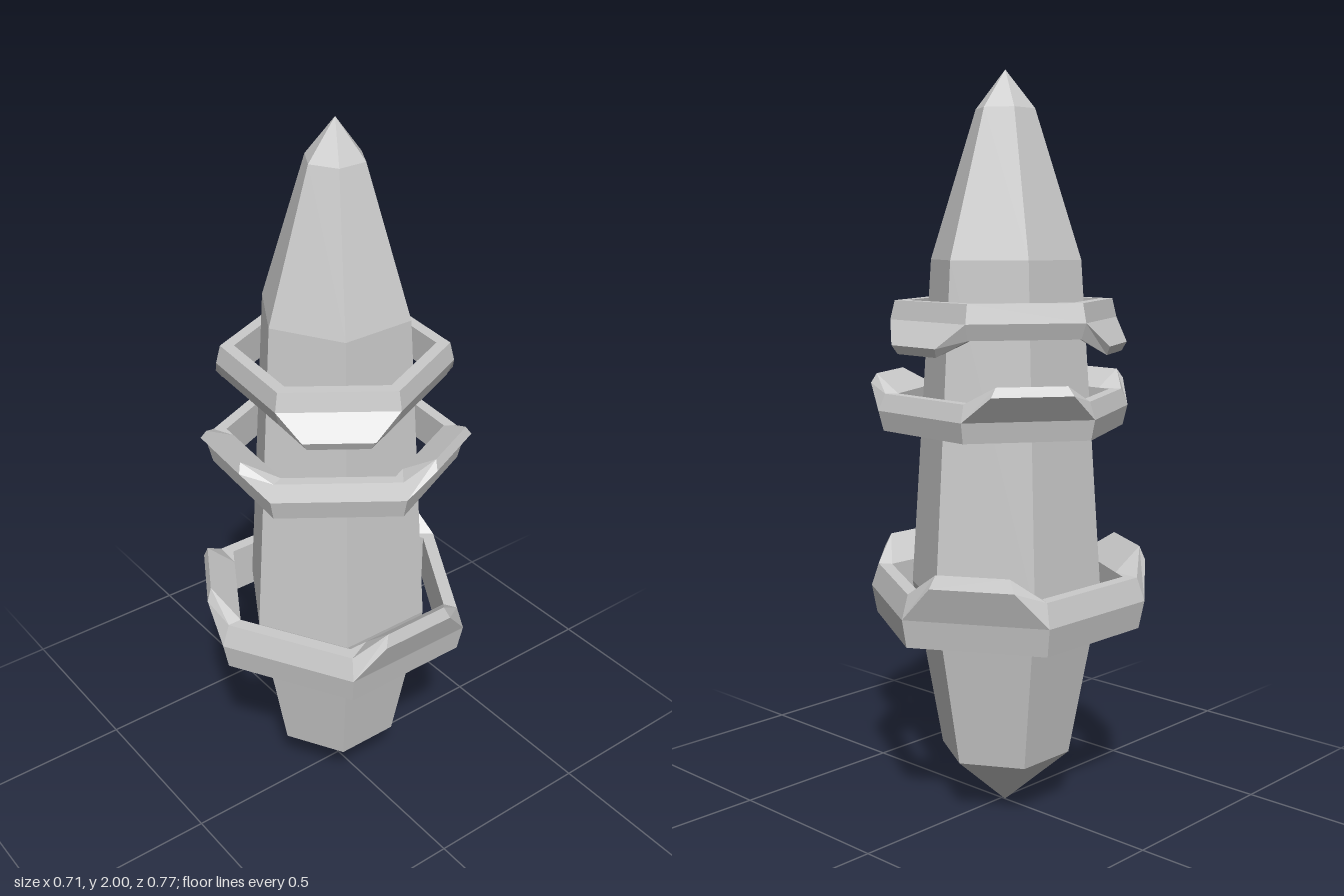
import * as THREE from 'three';

const material = new THREE.MeshStandardMaterial({ color: 0xcccccc, flatShading: true });

function addPart(group, name, geometry) {
  const flat = geometry.index ? geometry.toNonIndexed() : geometry;
  flat.computeVertexNormals();
  const mesh = new THREE.Mesh(flat, material);
  mesh.name = name;
  group.add(mesh);
}

// Hexagonal ring with three flared flaps on alternate sides.
// Radii are corner radii, flapDist is the flap rim's distance from the axis.
// Heights grow from base; a negative height turns the ring upside down.
function ringGeometry({ base, height, scale, flapDist, flapHalf, turn }) {
  const R = { base: 0.37, shoulder: 0.385, rim: 0.364, inner: 0.325 };
  const H = { shoulder: 0.37, rim: 0.68, flapLow: 0.83, flapTop: 1 };
  const cos30 = Math.cos(Math.PI / 6);
  const sections = [];

  // point on a side: d outward from the axis, t along the side, h up
  const place = (angle, d, t, h) => new THREE.Vector3(
    d * Math.sin(angle) + t * Math.cos(angle),
    base + h * height,
    d * Math.cos(angle) - t * Math.sin(angle));

  for (let k = 0; k < 3; k++) {
    const a = turn + k * Math.PI * 2 / 3;
    for (const t of [-1, -0.5, 0.5, 1]) {
      const corner = Math.abs(t) === 1;
      const flat = (r, h) => {
        const d = r * scale * cos30;
        const along = corner ? t * r * scale * 0.5 : Math.sign(t) * flapHalf;
        return place(a, d, along, h);
      };
      const shoulder = flat(R.shoulder, H.shoulder);
      sections.push([
        flat(R.base, 0),
        shoulder,
        corner ? shoulder : place(a, flapDist, Math.sign(t) * flapHalf, H.flapLow),
        corner ? flat(R.rim, H.rim)
          : place(a, flapDist - 0.011, Math.sign(t) * flapHalf * 0.87, H.flapTop),
        flat(R.inner, H.rim),
        flat(R.inner, 0),
      ]);
    }
  }

  const positions = [];
  const triangle = (p, q, r) => {
    if (p.equals(q) || q.equals(r) || r.equals(p)) return;
    const order = height > 0 ? [p, q, r] : [p, r, q];
    for (const v of order) positions.push(v.x, v.y, v.z);
  };
  sections.forEach((s, i) => {
    const n = sections[(i + 1) % sections.length];
    for (let j = 0; j < s.length; j++) {
      const u = (j + 1) % s.length;
      triangle(s[j], n[j], n[u]);
      triangle(s[j], n[u], s[u]);
    }
  });
  const geometry = new THREE.BufferGeometry();
  geometry.setAttribute('position', new THREE.Float32BufferAttribute(positions, 3));
  return geometry;
}

export function createModel() {
  const group = new THREE.Group();
  group.name = 'ringedCrystal';
  const body = new THREE.Group();
  body.name = 'crystalAndRings';
  body.position.x = -0.0125;
  group.add(body);

  // Six-sided crystal, pointed at both ends
  const profile = [[0, 0.005], [0.18, 0.16], [0.265, 0.62], [0.205, 1.51], [0.08, 1.9], [0, 2]]
    .map(([r, y]) => new THREE.Vector2(r, y));
  addPart(body, 'crystal', new THREE.LatheGeometry(profile, 6));

  // Floating rings; the top one hangs upside down
  const tilt = -THREE.MathUtils.degToRad(5.4);
  addPart(body, 'lowerRing', ringGeometry({
    base: 0.525, height: 0.205, scale: 1, flapDist: 0.3675, flapHalf: 0.11, turn: Math.PI / 2 }));
  addPart(body, 'middleRing', ringGeometry({
    base: 1.06, height: 0.145, scale: 0.89, flapDist: 0.3465, flapHalf: 0.105, turn: tilt }));
  addPart(body, 'upperRing', ringGeometry({
    base: 1.405, height: -0.135, scale: 0.8, flapDist: 0.312, flapHalf: 0.09, turn: tilt + Math.PI / 3 }));

  return group;
}
